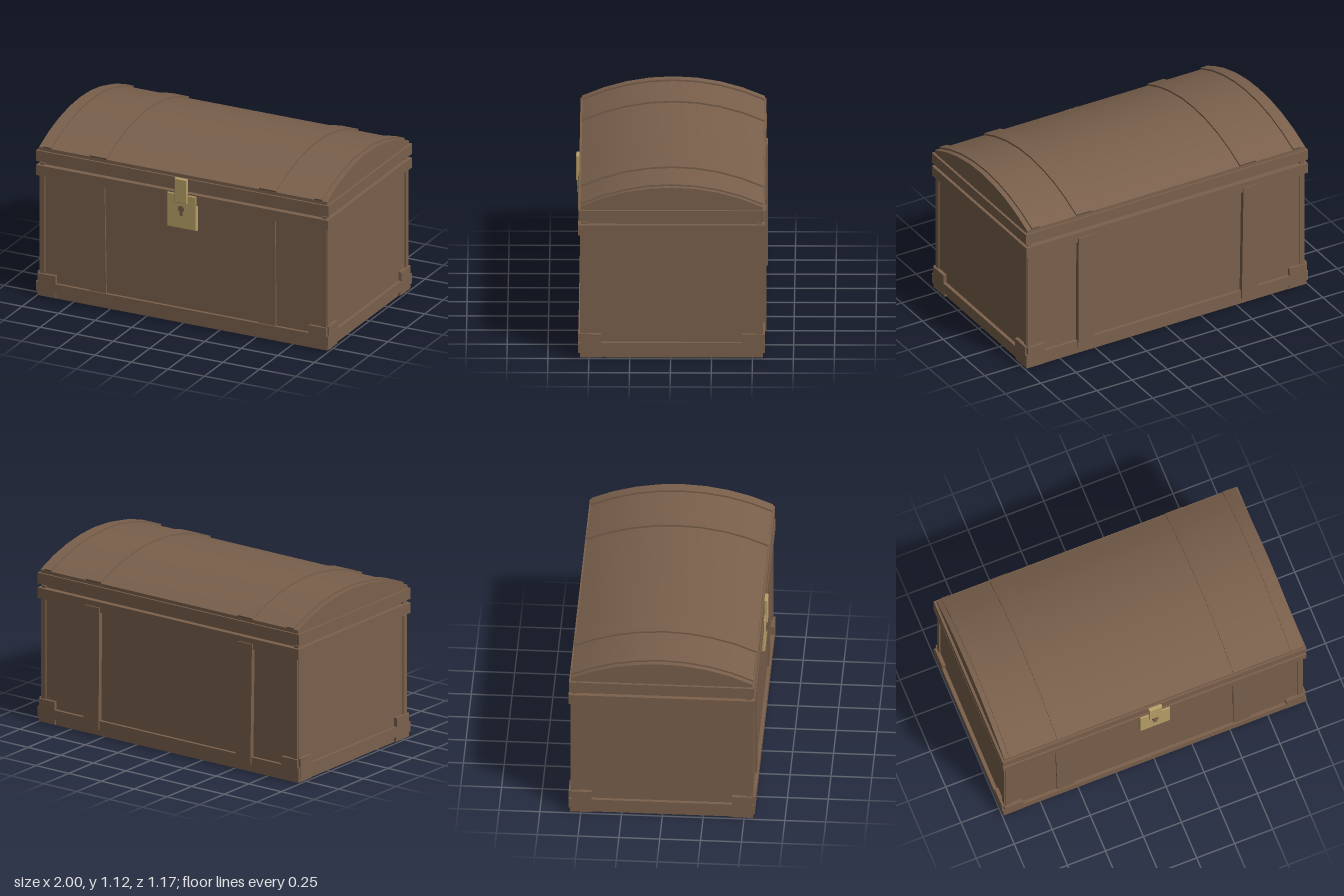
import * as THREE from 'three';
import { toCreasedNormals } from 'three/addons/utils/BufferGeometryUtils.js';

export function createModel() {
  const chest = new THREE.Group();
  chest.name = 'chest';
  const wood = new THREE.MeshStandardMaterial({ color: 0x7a604c });
  wood.name = 'brown wood';
  const brass = new THREE.MeshStandardMaterial({ color: 0xb8a068 });
  brass.name = 'brass';

  const add = (name, geometry, material = wood) => {
    const mesh = new THREE.Mesh(geometry, material);
    mesh.name = name;
    chest.add(mesh);
    return mesh;
  };
  // Box given by its lower and upper limits
  const box = (name, x0, x1, y0, y1, z0, z1, material) => {
    const g = new THREE.BoxGeometry(x1 - x0, y1 - y0, z1 - z0);
    g.translate((x0 + x1) / 2, (y0 + y1) / 2, (z0 + z1) / 2);
    return add(name, g, material);
  };
  const slab = (name, hx, y0, y1, hz) => box(name, -hx, hx, y0, y1, -hz, hz);
  // Flat outline extruded forward from z0
  const plate = (name, shape, z0, depth, material, bevel = 0) => {
    const g = new THREE.ExtrudeGeometry(shape, {
      depth, bevelEnabled: bevel > 0, bevelSize: bevel, bevelThickness: bevel,
      bevelOffset: -bevel, bevelSegments: 1, curveSegments: 12,
    });
    g.translate(0, 0, z0);
    return add(name, g, material);
  };

  // Body, rims and the recess under the lid
  slab('body', 0.976, 0.003, 0.86, 0.55);
  slab('bottomTrim', 0.998, 0.04, 0.105, 0.57);
  slab('upperRim', 0.998, 0.803, 0.87, 0.57);
  slab('lidRecess', 0.97, 0.86, 0.9, 0.535);
  slab('lidRim', 1, 0.895, 0.965, 0.567);

  // Domed lid: an arc profile swept along x
  const radius = 1.2946, centreY = 1.111 - radius;
  const arc = (extra) => {
    const pts = [];
    for (let i = 0; i <= 8; i++) {
      const a = (i / 8 - 0.5) * 2 * Math.asin(0.555 / radius);
      pts.push(new THREE.Vector2(Math.sin(a) * (radius + extra), centreY + Math.cos(a) * (radius + extra)));
    }
    return pts;
  };
  const sweep = (name, outline, x0, x1) => {
    const g = new THREE.ExtrudeGeometry(new THREE.Shape(outline), { depth: x1 - x0, bevelEnabled: false });
    g.rotateY(Math.PI / 2);
    g.translate(x0, 0, 0);
    add(name, toCreasedNormals(g, 0.5));
  };
  sweep('lidDome', [...arc(0), new THREE.Vector2(0.555, 0.95), new THREE.Vector2(-0.555, 0.95)], -0.985, 0.985);
  const band = [...arc(0.011), ...arc(-0.01).reverse()];

  for (const s of [-1, 1]) {
    // Lid bands, wide and narrow
    for (const [name, a, b] of [['lidStrap', 0.522, 0.637], ['lidEdgeBand', 0.9, 0.953]]) {
      sweep(name, band, s > 0 ? a : -b, s > 0 ? b : -a);
    }

    // Body straps, a little askew at the front
    const lean = s < 0 ? -0.012 : -0.004;
    const strap = new THREE.Shape([
      new THREE.Vector2(s * 0.58 - 0.057, 0.05), new THREE.Vector2(s * 0.58 + 0.057, 0.05),
      new THREE.Vector2(s * 0.58 + 0.057 + lean, 0.835), new THREE.Vector2(s * 0.58 - 0.057 + lean, 0.835),
    ]);
    plate('frontStrap', strap, 0.545, 0.016);
    plate('backStrap', strap, -0.579, 0.035);

    for (const t of [-1, 1]) {
      // Corner posts and foot brackets, made once and mirrored by sign
      const corner = (name, x0, x1, y0, y1, z0, z1) => box(
        name, Math.min(s * x0, s * x1), Math.max(s * x0, s * x1), y0, y1,
        Math.min(t * z0, t * z1), Math.max(t * z0, t * z1));
      corner('cornerPostSide', 0.95, 0.985, 0.02, 0.86, 0.515, 0.55);
      corner('cornerPostFace', 0.945, 0.979, 0.02, 0.86, 0.52, 0.558);
      corner('lidCornerBlock', 0.95, 0.98, 0.86, 0.885, 0.515, 0.553);
      corner('bracketFace', 0.866, 0.986, 0.035, 0.157, 0.43, 0.57);
      corner('bracketSide', 0.866, 0.999, 0.035, 0.161, 0.43, 0.552);
      corner('bracketFoot', 0.87, 0.992, 0.008, 0.04, 0.428, 0.56);
    }
  }

  // Lock plate, hasp and keyhole
  const rect = (hx, y0, y1) => new THREE.Shape([
    new THREE.Vector2(-hx, y0), new THREE.Vector2(hx, y0),
    new THREE.Vector2(hx, y1), new THREE.Vector2(-hx, y1),
  ]);
  plate('lockPlate', rect(0.1, 0.635, 0.862), 0.55, 0.022, brass, 0.005);
  plate('hasp', rect(0.042, 0.808, 0.966), 0.569, 0.016, brass, 0.004);
  const keyhole = new THREE.Shape();
  keyhole.moveTo(-0.012, 0.722);
  keyhole.lineTo(0.012, 0.722);
  keyhole.lineTo(0.008, 0.748);
  keyhole.absarc(0, 0.767, 0.021, -1.18, Math.PI + 1.18, false);
  keyhole.lineTo(-0.008, 0.748);
  plate('keyhole', keyhole, 0.576, 0.007);

  chest.position.z = -0.005;
  const model = new THREE.Group();
  model.name = 'treasureChest';
  model.add(chest);
  return model;
}
